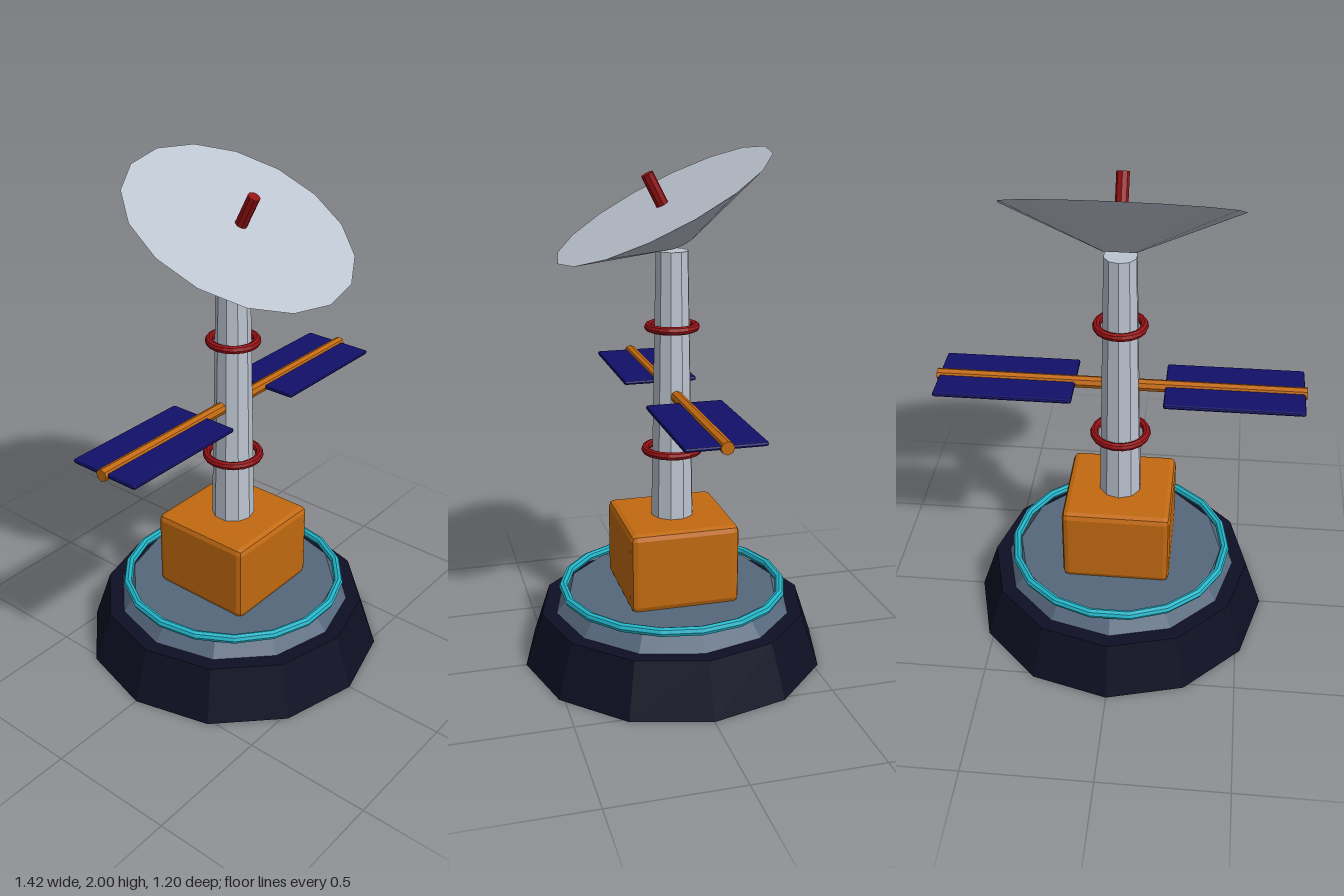
import * as THREE from 'three';
import { RoundedBoxGeometry } from 'three/addons/geometries/RoundedBoxGeometry.js';

const mat = (name, color, flat = true) => {
  const m = new THREE.MeshStandardMaterial({ color, flatShading: flat });
  m.name = name;
  return m;
};

export function createModel() {
  const model = new THREE.Group();
  model.name = 'antennaStation';

  const midnight = mat('midnight', 0x0f0f24);
  const slate = mat('slate', 0x56677c);
  const cyan = mat('cyan', 0x22b4c8);
  const orange = mat('orange', 0xc26a10);
  const silver = mat('silver', 0xbcc4d0);
  const red = mat('red', 0x941014);
  const navy = mat('navy', 0x11106a);

  const add = (name, geometry, material, x = 0, y = 0, z = 0, parent = model) => {
    const mesh = new THREE.Mesh(geometry, material);
    mesh.name = name;
    mesh.position.set(x, y, z);
    parent.add(mesh);
    return mesh;
  };
  // Tapered column standing between two heights
  const column = (name, material, rTop, rBottom, y0, y1, sides, parent) =>
    add(name, new THREE.CylinderGeometry(rTop, rBottom, y1 - y0, sides), material, 0, (y0 + y1) / 2, 0, parent);
  // Horizontal ring
  const ring = (name, material, radius, tube, y, segments) =>
    add(name, new THREE.TorusGeometry(radius, tube, 8, segments).rotateX(Math.PI / 2), material, 0, y, 0);

  // Stepped base
  column('base', midnight, 0.53, 0.6, 0, 0.21, 12);
  column('plinth', slate, 0.42, 0.48, 0.2, 0.275, 12);
  ring('plinthRing', cyan, 0.437, 0.018, 0.287, 18);

  // Equipment housing and mast
  add('housing', new RoundedBoxGeometry(0.43, 0.32, 0.43, 1, 0.024), orange, 0, 0.43, 0);
  column('mast', silver, 0.063, 0.085, 0.56, 1.63, 10);
  ring('lowerCollar', red, 0.104, 0.016, 0.857, 18);
  ring('upperCollar', red, 0.09, 0.016, 1.342, 18);

  // Solar array: one crossbar and a panel on each side
  const solar = new THREE.Group();
  solar.name = 'solarArray';
  solar.position.y = 1.083;
  model.add(solar);
  add('crossbar', new THREE.CylinderGeometry(0.024, 0.024, 1.42, 8).rotateZ(Math.PI / 2), orange, 0, 0, 0, solar);
  for (const [side, name] of [[1, 'leftPanel'], [-1, 'rightPanel']]) {
    add(name, new RoundedBoxGeometry(0.53, 0.017, 0.295, 1, 0.008), navy, side * 0.437, 0, 0, solar);
  }

  // Tilted dish with its feed rod, origin at the centre of the rim
  const dish = new THREE.Group();
  dish.name = 'dish';
  dish.position.set(0, 1.8, 0.037);
  dish.rotation.x = 0.475;
  model.add(dish);
  column('reflector', silver, 0.443, 0.06, -0.157, 0, 16, dish);
  column('feedRod', red, 0.024, 0.024, -0.01, 0.125, 8, dish);

  return model;
}
